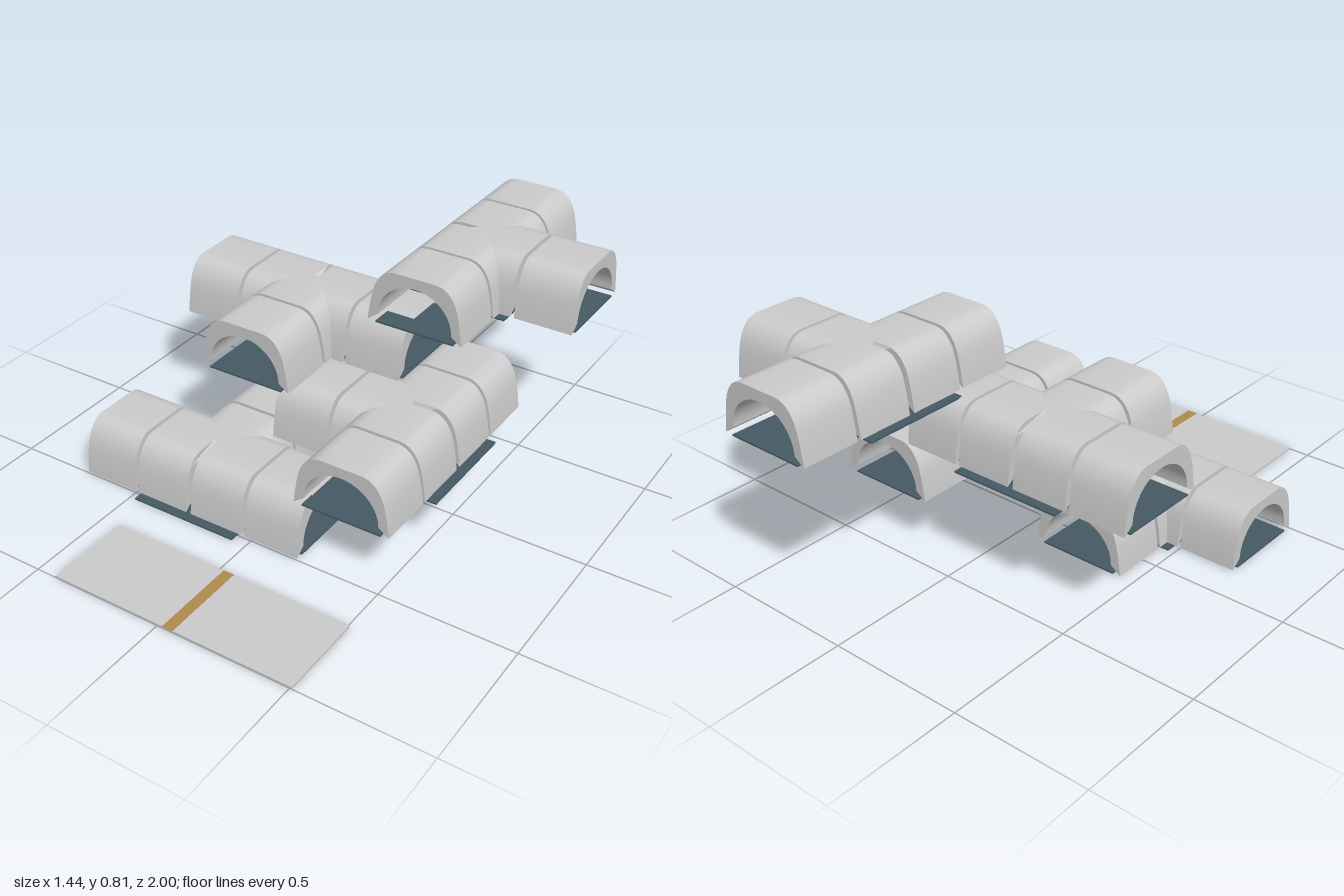
import * as THREE from 'three';
import { toCreasedNormals } from 'three/addons/utils/BufferGeometryUtils.js';

const shellMat = new THREE.MeshStandardMaterial({ color: 0xcccccc });
const floorMat = new THREE.MeshStandardMaterial({ color: 0x465a64 });
const stripeMat = new THREE.MeshStandardMaterial({ color: 0xb08a4c });

const SLOT = 0.01;   // half width of the slot in the closed side
const HUB = 0.223;   // reach of the junction arms
const NEAR = 0.237, FAR = 0.453; // extent of each end segment

// Arch cross-section: flat crown, round shoulders, leaning sides, bevelled feet
function archShape() {
  const shoulder = new THREE.SplineCurve([
    [0.181, 0], [0.173, 0.06], [0.158, 0.13], [0.135, 0.173], [0.108, 0.195], [0.08, 0.202],
  ].map(([x, y]) => new THREE.Vector2(x, y))).getPoints(14);
  const outer = [...shoulder, new THREE.Vector2(SLOT, 0.202)];
  const inner = [];
  for (let i = 0; i <= 12; i++) {
    const a = (i / 12) * Math.PI / 2;
    if (i < 12) inner.push(new THREE.Vector2(0.142 * Math.cos(a), 0.028 + 0.135 * Math.sin(a)));
    else inner.push(new THREE.Vector2(SLOT, 0.163));
  }
  const flip = (list) => list.map((p) => new THREE.Vector2(-p.x, p.y)).reverse();
  return new THREE.Shape([
    ...outer, new THREE.Vector2(0, 0.202), ...flip(outer),
    ...flip(inner).reverse(), new THREE.Vector2(0, 0.163), ...inner.reverse(),
  ]);
}
const arch = archShape();

// Arch swept along +z; its start is cut back by a rule of the sideways position
function tunnel(start, end) {
  const geo = new THREE.ExtrudeGeometry(arch, { depth: 1, bevelEnabled: false });
  const pos = geo.attributes.position;
  for (let i = 0; i < pos.count; i++) {
    pos.setZ(i, pos.getZ(i) < 0.5 ? start(pos.getX(i)) : end);
  }
  return toCreasedNormals(geo, 0.5);
}

function addMesh(parent, name, geo, mat, x = 0, y = 0, z = 0) {
  const mesh = new THREE.Mesh(geo, mat);
  mesh.name = name;
  mesh.position.set(x, y, z);
  parent.add(mesh);
  return mesh;
}

// Mitred junction arms and the shared end pieces
const endShell = tunnel(() => NEAR, FAR);
const endFloor = new THREE.BoxGeometry(0.3, 0.006, FAR - NEAR);
const hubFloor = new THREE.BoxGeometry(0.42, 0.006, 0.43);
const arms = [
  { name: 'branch', turn: 0, shell: tunnel((w) => Math.abs(w), HUB) },
  { name: 'leftRun', turn: Math.PI / 2, shell: tunnel((w) => Math.max(SLOT, -w), HUB) },
  { name: 'rightRun', turn: -Math.PI / 2, shell: tunnel((w) => Math.max(SLOT, w), HUB) },
];

// T-shaped tunnel: run along x, branch toward +z
function tunnelModule(name) {
  const module = new THREE.Group();
  module.name = name;
  addMesh(module, 'junctionFloor', hubFloor, floorMat, 0, 0.003, 0);
  for (const { name: armName, turn, shell } of arms) {
    const arm = new THREE.Group();
    arm.name = armName;
    arm.rotation.y = turn;
    addMesh(arm, 'junctionArch', shell, shellMat, 0, 0.006, 0);
    addMesh(arm, 'endArch', endShell, shellMat, 0, 0.006, 0);
    addMesh(arm, 'endFloor', endFloor, floorMat, 0, 0.004, (NEAR + FAR) / 2);
    module.add(arm);
  }
  return module;
}

export function createModel() {
  const model = new THREE.Group();
  model.name = 'stackedTunnels';

  // Four storeys, each turned its own way
  const storeys = [
    [-0.267, 0.318, Math.PI],
    [0.333, 0.01, -Math.PI / 2],
    [-0.232, -0.26, 0],
    [0.266, -0.547, Math.PI / 2],
  ];
  storeys.forEach(([x, z, turn], i) => {
    const storey = tunnelModule(`tunnelStorey${i + 1}`);
    storey.position.set(x, i * 0.2, z);
    storey.rotation.y = turn;
    model.add(storey);
  });

  // Flat slab in front with a coloured stripe across it
  addMesh(model, 'slab', new THREE.BoxGeometry(0.93, 0.007, 0.32), shellMat, 0.043, 0.0035, 0.84);
  addMesh(model, 'slabStripe', new THREE.BoxGeometry(0.04, 0.002, 0.32), stripeMat, 0.041, 0.0075, 0.84);

  return model;
}
